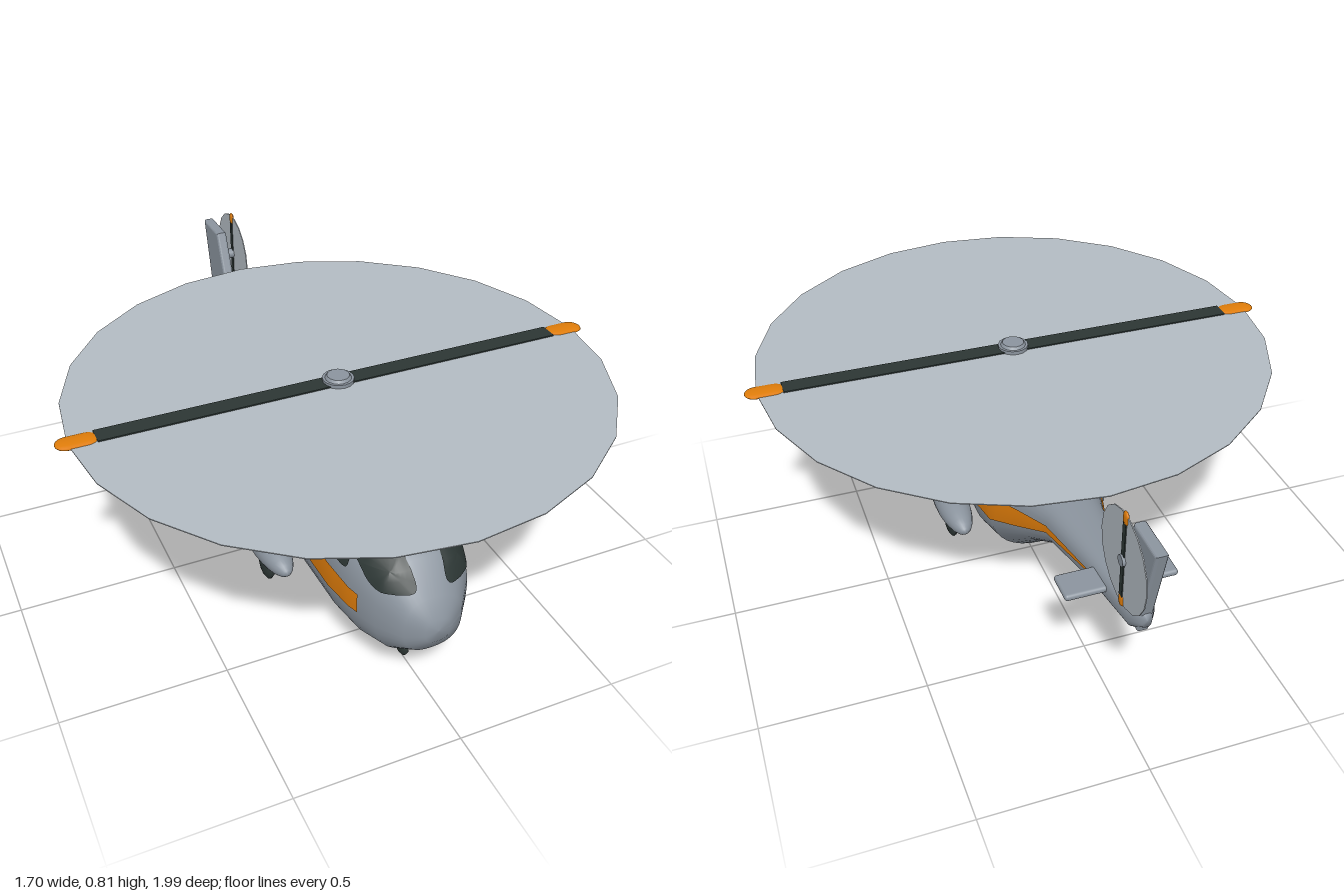
import * as THREE from 'three';
import { RoundedBoxGeometry } from 'three/addons/geometries/RoundedBoxGeometry.js';

const mat = (name, color, side = THREE.FrontSide) => {
  const m = new THREE.MeshStandardMaterial({ color, side });
  m.name = name;
  return m;
};

// Hull stations: z, top y, bottom y, half width
const HULL = [
  [0.84, 0.305, 0.225, 0.04], [0.81, 0.36, 0.175, 0.09], [0.74, 0.45, 0.125, 0.145],
  [0.65, 0.49, 0.1, 0.178], [0.54, 0.51, 0.09, 0.195], [0.3, 0.513, 0.088, 0.2],
  [0, 0.513, 0.09, 0.2], [-0.13, 0.505, 0.13, 0.182], [-0.26, 0.49, 0.245, 0.135],
  [-0.4, 0.49, 0.34, 0.09], [-0.66, 0.5, 0.397, 0.056], [-0.87, 0.515, 0.43, 0.04],
  [-0.91, 0.51, 0.46, 0.015],
];
const POWER = 2.5;

function station(z) {
  let i = 0;
  while (i < HULL.length - 2 && z < HULL[i + 1][0]) i++;
  const a = HULL[i], b = HULL[i + 1], t = (z - a[0]) / (b[0] - a[0]);
  const [top, bottom, w] = [1, 2, 3].map((k) => a[k] + (b[k] - a[k]) * t);
  return { c: (top + bottom) / 2, h: (top - bottom) / 2, w };
}

// Below 1 inside the hull, 1 on its surface
function level(x, y, z) {
  const s = station(z);
  return Math.abs(x / s.w) ** POWER + Math.abs((y - s.c) / s.h) ** POWER;
}

// Move a surface point outwards a little
function lift(x, y, z, d) {
  const e = 0.002, f = level(x, y, z);
  const n = new THREE.Vector3(level(x + e, y, z) - f, level(x, y + e, z) - f, level(x, y, z + e) - f);
  return n.normalize().multiplyScalar(d).add(new THREE.Vector3(x, y, z));
}

// Project (z, y) sideways, or (x, y) from the front, onto the hull
const onSide = (sign, d = 0.006) => (z, y) => {
  const s = station(z);
  const x = s.w * Math.max(0, 1 - Math.abs((y - s.c) / s.h) ** POWER) ** (1 / POWER);
  return lift(sign * x, y, z, d);
};
const onFront = (sign) => (x, y) => {
  let lo = 0.3, hi = 0.835;
  for (let i = 0; i < 30; i++) {
    const mid = (lo + hi) / 2;
    if (level(x, y, mid) < 1) lo = mid; else hi = mid;
  }
  return lift(sign * x, y, lo, 0.006);
};

// Surface from rows of points; flip reverses the facing
function surface(rows, flip = false) {
  const n = rows[0].length, index = [];
  for (let r = 0; r < rows.length - 1; r++) {
    for (let i = 0; i < n - 1; i++) {
      const a = r * n + i, b = a + 1, c = a + n, d = c + 1;
      index.push(...(flip ? [a, c, b, b, c, d] : [a, b, c, b, d, c]));
    }
  }
  const g = new THREE.BufferGeometry().setFromPoints(rows.flat());
  g.setIndex(index);
  g.computeVertexNormals();
  return g;
}

// Rounded four-cornered panel; corners run round the outline
function panel(q, project, sign) {
  const rows = [], sq = (v) => Math.sign(v) * Math.abs(v) ** 0.42;
  for (let r = 0; r <= 5; r++) {
    const row = [];
    for (let i = 0; i <= 28; i++) {
      const a = (i / 28) * Math.PI * 2, k = Math.max(r / 5, 0.001);
      const u = (1 + k * sq(Math.cos(a))) / 2, v = (1 + k * sq(Math.sin(a))) / 2;
      const p = [0, 1].map((j) =>
        (q[0][j] * (1 - u) + q[1][j] * u) * (1 - v) + (q[3][j] * (1 - u) + q[2][j] * u) * v);
      row.push(project(p[0], p[1]));
    }
    rows.push(row);
  }
  return surface(rows, sign > 0);
}

export function createModel() {
  const grey = mat('hull grey', 0x8b949e);
  const orange = mat('orange', 0xe07d0a, THREE.DoubleSide);
  const dark = mat('dark glass', 0x2c3634, THREE.DoubleSide);
  const blur = mat('rotor disc grey', 0xb3bbc2);

  const model = new THREE.Group();
  model.name = 'helicopter';
  const add = (name, geo, material, x = 0, y = 0, z = 0, parent = model) => {
    const m = new THREE.Mesh(geo, material);
    m.name = name;
    m.position.set(x, y, z);
    parent.add(m);
    return m;
  };

  // Hull, closed at both ends
  const ring = ([z, top, bottom, w]) => Array.from({ length: 37 }, (_, i) => {
    const a = (i / 36) * Math.PI * 2, c = Math.cos(a), s = Math.sin(a);
    const p = (v) => Math.sign(v) * Math.abs(v) ** (2 / POWER);
    return new THREE.Vector3(w * p(c), (top + bottom) / 2 + ((top - bottom) / 2) * p(s), z);
  });
  const tip = ([z, top, bottom], dz) => ring([z + dz, (top + bottom) / 2, (top + bottom) / 2, 0]);
  const rows = [tip(HULL[0], 0.004), ...HULL.map(ring), tip(HULL[HULL.length - 1], -0.004)];
  add('hull', surface(rows, true), grey);

  // Side stripes: z, top y, bottom y
  const STRIPE = [
    [0.68, 0.325, 0.26], [0.54, 0.342, 0.26], [0.35, 0.352, 0.26], [0, 0.352, 0.26],
    [-0.13, 0.362, 0.27], [-0.26, 0.395, 0.33], [-0.4, 0.428, 0.403], [-0.66, 0.458, 0.452],
  ];
  for (const sign of [1, -1]) {
    const stripe = [];
    for (let k = 0; k < STRIPE.length - 1; k++) {
      for (let j = 0; j < (k === STRIPE.length - 2 ? 5 : 4); j++) {
        const [z, t, b] = STRIPE[k].map((v, i) => v + (STRIPE[k + 1][i] - v) * (j / 4));
        stripe.push([0, 0.25, 0.5, 0.75, 1].map((f) => onSide(sign, 0.004)(z, b + (t - b) * f)));
      }
    }
    add('stripe', surface(stripe, sign < 0), orange);

    // Windows
    add('windscreen', panel([[0.04, 0.375], [0.145, 0.37], [0.16, 0.465], [0.055, 0.485]], onFront(sign), -sign), dark);
    add('cockpitWindow', panel([[0.63, 0.375], [0.51, 0.385], [0.495, 0.475], [0.61, 0.465]], onSide(sign), sign), dark);
    add('cabinWindow', panel([[0.26, 0.392], [0.13, 0.392], [0.13, 0.475], [0.26, 0.475]], onSide(sign), sign), dark);
  }
  add('cabinDoor', panel([[0.36, 0.24], [0.13, 0.24], [0.13, 0.37], [0.36, 0.37]], onSide(-1, 0.009), -1), dark);

  // Engine housing with intake
  add('engineHousing', new RoundedBoxGeometry(0.25, 0.14, 0.5, 4, 0.032), grey, 0, 0.532, 0.21);
  add('engineIntake', new RoundedBoxGeometry(0.18, 0.055, 0.008, 2, 0.004), dark, 0, 0.543, 0.461);

  // Main rotor
  const rotor = new THREE.Group();
  rotor.name = 'mainRotor';
  rotor.position.set(0, 0.69, 0.175);
  model.add(rotor);
  add('mast', new THREE.CylinderGeometry(0.027, 0.027, 0.1, 14), grey, 0, -0.055, 0, rotor);
  add('hub', new THREE.CylinderGeometry(0.048, 0.048, 0.032, 16), grey, 0, -0.003, 0, rotor);
  add('hubCap', new THREE.CylinderGeometry(0.034, 0.042, 0.012, 16), grey, 0, 0.016, 0, rotor);
  add('rotorDisc', new THREE.CylinderGeometry(0.815, 0.815, 0.003, 24), blur, 0, 0, 0, rotor);
  for (const sign of [1, -1]) {
    add('blade', new THREE.BoxGeometry(0.72, 0.011, 0.058), dark, sign * 0.375, 0, 0, rotor);
    const end = new THREE.CapsuleGeometry(0.034, 0.055, 6, 12).rotateZ(Math.PI / 2).scale(1, 0.22, 1);
    add('bladeTip', end, orange, sign * 0.788, 0, 0, rotor);
  }

  // Tail fin and stabiliser
  const fin = new THREE.Shape([[-0.73, 0.49], [-0.835, 0.742], [-0.96, 0.742], [-0.885, 0.44], [-0.83, 0.44]]
    .map(([z, y]) => new THREE.Vector2(z, y)));
  const finGeo = new THREE.ExtrudeGeometry(fin, { depth: 0.02, bevelThickness: 0.008, bevelSize: 0.008, bevelSegments: 3 });
  add('tailFin', finGeo.translate(0, 0, -0.01).rotateY(-Math.PI / 2), grey);
  add('stabiliser', new RoundedBoxGeometry(0.33, 0.02, 0.095, 3, 0.009), grey, 0, 0.467, -0.706);

  // Tail rotor
  const tail = new THREE.Group();
  tail.name = 'tailRotor';
  tail.position.set(0.048, 0.655, -0.85);
  model.add(tail);
  add('tailDisc', new THREE.CylinderGeometry(0.145, 0.145, 0.003, 18).rotateZ(Math.PI / 2), blur, 0, 0, 0, tail);
  add('tailHub', new THREE.CylinderGeometry(0.017, 0.017, 0.06, 12).rotateZ(Math.PI / 2), grey, -0.02, 0, 0, tail);
  for (const sign of [1, -1]) {
    add('tailBlade', new THREE.BoxGeometry(0.009, 0.115, 0.018), dark, 0, sign * 0.062, 0, tail);
    add('tailBladeTip', new THREE.CapsuleGeometry(0.015, 0.012, 4, 10).scale(0.4, 1, 1), orange, 0, sign * 0.134, 0, tail);
  }

  // Sponsons and landing gear
  const wheel = (r, halfWidth) =>
    new THREE.SphereGeometry(r, 10, 8).rotateZ(Math.PI / 2).scale(halfWidth / r, 1, 1);
  for (const sign of [1, -1]) {
    const pod = new THREE.SphereGeometry(1, 20, 14).rotateX(Math.PI / 2).scale(0.056, 0.052, 0.182);
    add('sponson', pod, grey, sign * 0.236, 0.147, 0.155);
    add('mainWheel', wheel(0.05, 0.02), dark, sign * 0.236, 0.05, 0.158);
  }
  add('noseStrut', new THREE.CylinderGeometry(0.01, 0.01, 0.08, 8), grey, 0, 0.085, 0.645);
  add('noseWheel', wheel(0.034, 0.016), dark, 0, 0.039, 0.645);

  // Rescue winch
  const arm = new THREE.CurvePath();
  const pts = [[-0.165, 0.44], [-0.24, 0.538], [-0.302, 0.522], [-0.302, 0.465]].map(([x, y]) => new THREE.Vector3(x, y, 0.25));
  for (let i = 0; i < 3; i++) arm.add(new THREE.LineCurve3(pts[i], pts[i + 1]));
  add('winchArm', new THREE.TubeGeometry(arm, 30, 0.008, 8), grey);
  add('winchHook', new THREE.SphereGeometry(0.025, 12, 10), orange, -0.302, 0.458, 0.25);

  return model;
}
